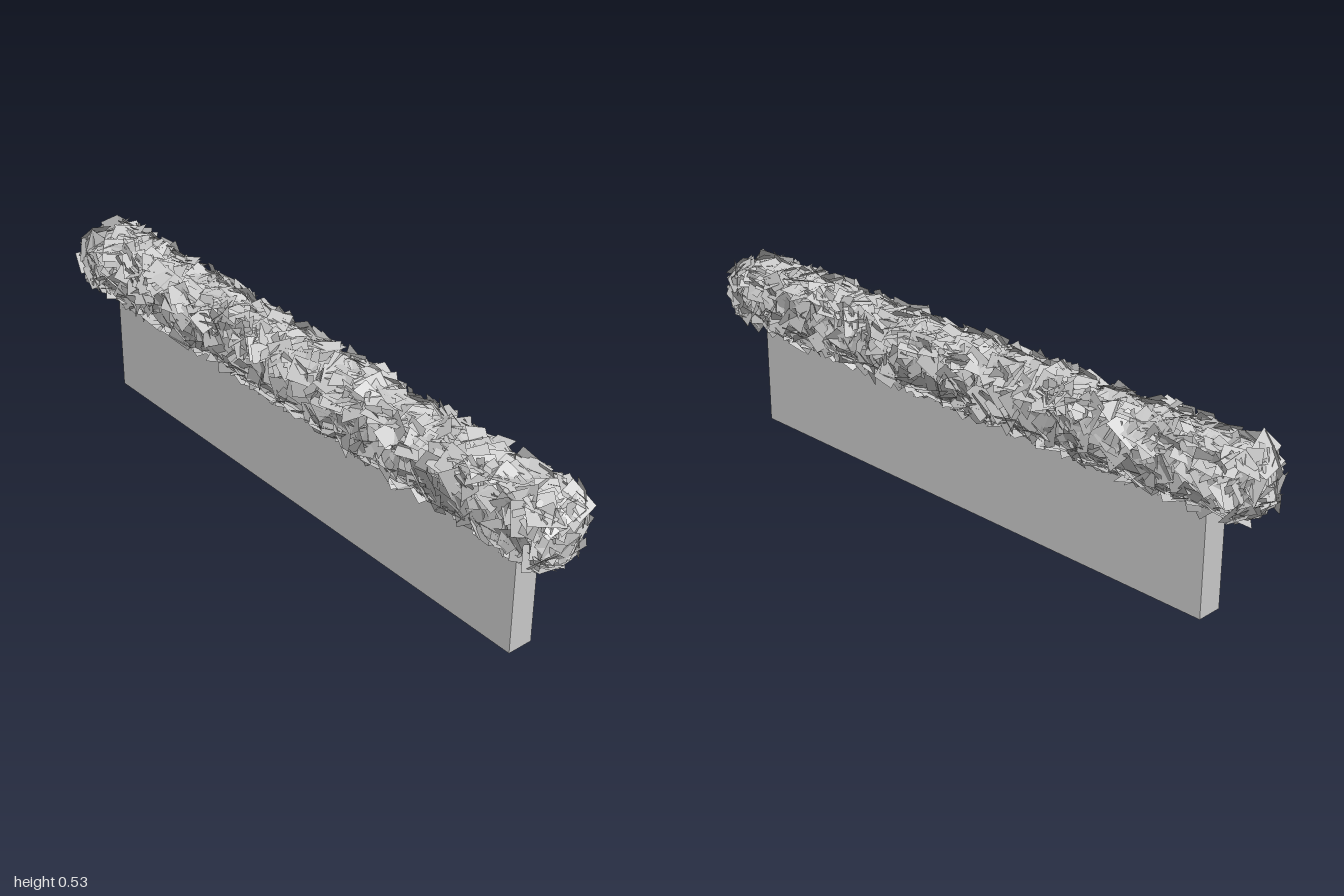
import * as THREE from 'three';

// Small seeded random generator
function seeded(seed) {
  return () => {
    seed = (seed * 1664525 + 1013904223) % 4294967296;
    return seed / 4294967296;
  };
}

// Leaf cards scattered over the surface of a rounded box
function leafGeometry(count, half, radius) {
  const rnd = seeded(7);
  const spread = (a) => (rnd() * 2 - 1) * a;
  const positions = [];
  const inner = half.clone().subScalar(radius);
  const outward = new THREE.Vector3(0, 0, 1);
  const areas = [half.y * half.z, half.x * half.z, half.x * half.y];
  const total = areas[0] + areas[1] + areas[2];

  for (let i = 0; i < count; i++) {
    // Pick a box side by area, then round the point off
    const pick = rnd() * total;
    const axis = pick < areas[0] ? 0 : pick < areas[0] + areas[1] ? 1 : 2;
    const p = new THREE.Vector3(spread(half.x), spread(half.y), spread(half.z));
    p.setComponent(axis, half.getComponent(axis) * (rnd() < 0.5 ? -1 : 1));
    const core = p.clone().clamp(inner.clone().negate(), inner);
    const normal = p.clone().sub(core).normalize();
    p.copy(core).addScaledVector(normal, radius - rnd() * 0.012);

    // Tilt the card loosely away from the surface and roll it
    normal.add(new THREE.Vector3(spread(0.45), spread(0.45), spread(0.45))).normalize();
    const turn = new THREE.Quaternion().setFromUnitVectors(outward, normal);
    turn.multiply(new THREE.Quaternion().setFromAxisAngle(outward, rnd() * Math.PI * 2));
    const w = 0.034 + rnd() * 0.014;
    const h = 0.026 + rnd() * 0.012;
    const c = [[-w, -h], [w, -h], [w, h], [-w, h]].map(([x, y]) =>
      new THREE.Vector3(x, y, 0).applyQuaternion(turn).add(p));
    for (const k of [0, 1, 2, 0, 2, 3]) positions.push(c[k].x, c[k].y, c[k].z);
  }
  const geometry = new THREE.BufferGeometry();
  geometry.setAttribute('position', new THREE.Float32BufferAttribute(positions, 3));
  geometry.computeVertexNormals();
  return geometry;
}

export function createModel() {
  const group = new THREE.Group();
  group.name = 'hedgeOnWall';

  // Plain low wall
  const wall = new THREE.Mesh(
    new THREE.BoxGeometry(0.077, 0.32, 1.692),
    new THREE.MeshStandardMaterial({ color: 0xcccccc })
  );
  wall.name = 'wall';
  wall.position.set(-0.004, 0.16, 0.009);
  group.add(wall);

  // Leafy hedge along the top
  const hedge = new THREE.Mesh(
    leafGeometry(1500, new THREE.Vector3(0.081, 0.084, 0.968), 0.045),
    new THREE.MeshStandardMaterial({ color: 0xcccccc, side: THREE.DoubleSide, flatShading: true })
  );
  hedge.name = 'hedgeLeaves';
  hedge.position.y = 0.406;
  group.add(hedge);

  return group;
}
